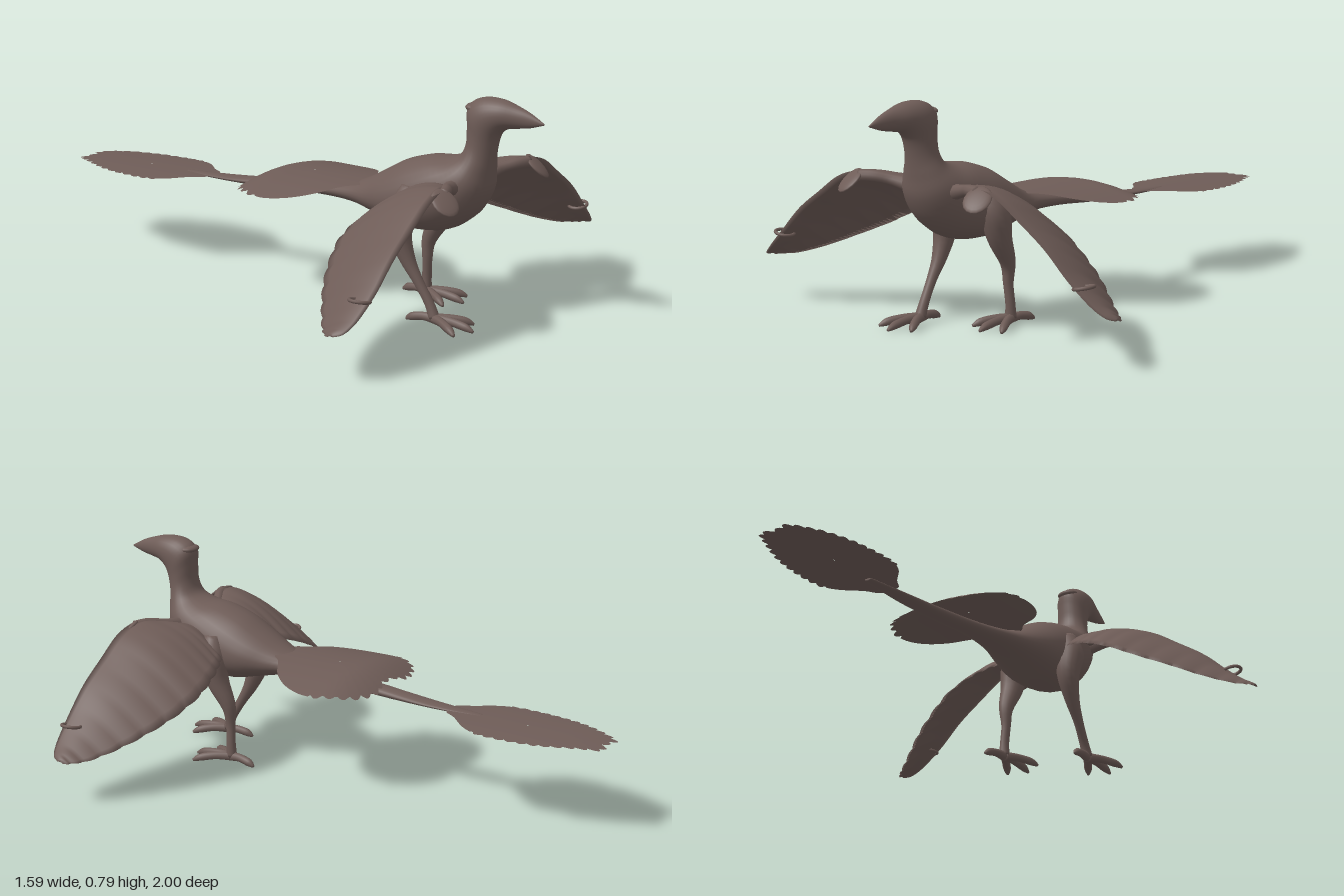
import * as THREE from 'three';

const plumage = new THREE.MeshStandardMaterial({ color: 0x6e5c57, side: THREE.DoubleSide });
plumage.name = 'brown plumage';

// Skin a list of equal-length closed rings of Vector3; ends are closed to their centroids if capped.
function loft(name, rings, { cap = true, flip = false } = {}) {
  const centroid = r => r.reduce((s, p) => s.add(p), new THREE.Vector3()).divideScalar(r.length);
  const all = cap ? [rings[0].map(() => centroid(rings[0])), ...rings, rings[0].map(() => centroid(rings.at(-1)))] : rings;
  const n = rings[0].length, index = [];
  for (let i = 0; i < all.length - 1; i++) {
    for (let j = 0; j < n; j++) {
      const a = i * n + j, b = i * n + (j + 1) % n, c = a + n, d = b + n;
      index.push(...(flip ? [a, c, b, b, c, d] : [a, b, c, b, d, c]));
    }
  }
  const g = new THREE.BufferGeometry().setFromPoints(all.flat());
  g.setIndex(index);
  g.computeVertexNormals();
  const mesh = new THREE.Mesh(g, plumage);
  mesh.name = name;
  return mesh;
}

// Smoothly resample a table of numeric rows
function resample(rows, count) {
  return Array.from({ length: count + 1 }, (_, k) => {
    const t = k / count * (rows.length - 1), i = Math.min(Math.floor(t), rows.length - 2), f = t - i;
    const at = q => rows[Math.max(0, Math.min(rows.length - 1, q))];
    return rows[0].map((_, c) => {
      const [p0, p1, p2, p3] = [at(i - 1)[c], at(i)[c], at(i + 1)[c], at(i + 2)[c]];
      const m1 = (p2 - p0) / 2, m2 = (p3 - p1) / 2, f2 = f * f, f3 = f2 * f;
      return (2 * f3 - 3 * f2 + 1) * p1 + (f3 - 2 * f2 + f) * m1 + (3 * f2 - 2 * f3) * p2 + (f3 - f2) * m2;
    });
  });
}

// Tapered limb through rows of [x, y, z, radius]
function limb(name, rows, sides = 10) {
  const s = resample(rows, (rows.length - 1) * 4);
  const curve = new THREE.CatmullRomCurve3(s.map(r => new THREE.Vector3(r[0], r[1], r[2])));
  const { normals, binormals } = curve.computeFrenetFrames(s.length - 1);
  return loft(name, s.map((r, i) => Array.from({ length: sides }, (_, j) => {
    const a = j / sides * Math.PI * 2;
    return new THREE.Vector3(r[0], r[1], r[2])
      .addScaledVector(normals[i], Math.cos(a) * r[3]).addScaledVector(binormals[i], Math.sin(a) * r[3]);
  })));
}

// Head, neck, body and tail stem: dorsal z, y; ventral z, y; half width
const bodyRows = [
  [1.0, .73, 1.0, .724, .003], [.95, .757, .95, .708, .016], [.9, .775, .905, .70, .03],
  [.84, .79, .865, .692, .048], [.77, .788, .84, .672, .058], [.72, .758, .828, .645, .06],
  [.718, .70, .82, .61, .058], [.718, .64, .815, .575, .062], [.70, .593, .81, .53, .08],
  [.65, .572, .8, .46, .108], [.57, .563, .75, .38, .128], [.48, .535, .65, .315, .138],
  [.4, .49, .52, .30, .13], [.32, .445, .4, .325, .1], [.25, .42, .27, .35, .07],
  [.1, .395, .1, .35, .045], [-.1, .372, -.1, .335, .036], [-.3, .35, -.3, .33, .032],
  [-.5, .338, -.5, .328, .014],
];
function makeBody() {
  const rings = resample(bodyRows, 72).map(([dz, dy, vz, vy, w]) => Array.from({ length: 28 }, (_, j) => {
    const a = j / 28 * Math.PI * 2, t = (1 - Math.cos(a)) / 2;
    return new THREE.Vector3(w * Math.sin(a), dy + (vy - dy) * t, dz + (vz - dz) * t);
  }));
  return loft('headAndBody', rings);
}

// Tail vane: half outline [x, z] front to back, scalloped behind zScallop, raised by a height rule
function vane(name, half, zCentre, zScallop, scallops, depth, height) {
  const pts = [...[...half].reverse(), ...half.map(([x, z]) => [-x, z])];
  const curve = new THREE.CatmullRomCurve3(pts.map(([x, z]) => new THREE.Vector3(x, 0, z)), true);
  const edge = curve.getSpacedPoints(180).slice(0, 180).map((p, i) => {
    const k = p.z < zScallop ? 1 + depth * (Math.abs(Math.sin(scallops * Math.PI * i / 180)) - .5) : 1;
    return [p.x * k, (p.z - zCentre) * k];
  });
  const rings = [.01, .15, .3, .45, .6, .75, .9, 1].map(t => edge.map(([x, z]) =>
    new THREE.Vector3(x * t, height(x * t, zCentre + z * t), zCentre + z * t)));
  return loft(name, rings, { cap: false });
}

// Wing stations: x, leading z, y; trailing z, y; thickness
const wingRows = [
  [.09, .72, .48, .56, .43, .03], [.15, .735, .505, .50, .41, .034], [.2, .77, .518, .475, .395, .036],
  [.27, .79, .53, .455, .37, .034], [.36, .80, .505, .45, .33, .03], [.46, .80, .44, .48, .28, .026],
  [.56, .80, .37, .53, .235, .022], [.65, .797, .285, .59, .195, .02], [.73, .785, .215, .65, .168, .016],
  [.775, .765, .18, .69, .163, .012], [.793, .735, .168, .715, .163, .006],
];
function makeWing(side) {
  const chord = 12;
  const rings = resample(wingRows, 80).map(([x, lz, ly, tz, ty, th], i) => {
    const z0 = tz - .008 * Math.abs(Math.sin(i * Math.PI / 6));
    const surface = (u, s) => new THREE.Vector3(side * x,
      ty + (ly - ty) * u + th * (.9 * Math.sin(Math.PI * u) + s * .5 * Math.sqrt(u) * Math.sqrt(1 - u) * (.6 + u)),
      z0 + (lz - z0) * u);
    const ring = [];
    for (let k = 0; k <= chord; k++) ring.push(surface(k / chord, 1));
    for (let k = chord - 1; k > 0; k--) ring.push(surface(k / chord, -1));
    return ring;
  });
  const wing = new THREE.Group();
  wing.name = side > 0 ? 'leftWing' : 'rightWing';
  wing.add(loft('wingFeathers', rings, { flip: side < 0 }));
  // Shoulder bone along the leading edge
  wing.add(limb('wingArm', [[side * .08, .485, .71, .03], [side * .16, .503, .735, .02],
    [side * .22, .515, .77, .02], [side * .27, .515, .79, .02]]));
  // Small flap hanging off the leading edge
  const flap = new THREE.Mesh(new THREE.SphereGeometry(1, 16, 10), plumage);
  flap.name = 'wingFlap';
  flap.scale.set(.048, .012, .055);
  flap.position.set(side * .29, .498, .812);
  flap.rotation.set(.75, side * .15, side * -.25);
  wing.add(flap);
  // Curled claw loop near the tip
  const claw = new THREE.Mesh(new THREE.TorusGeometry(.033, .006, 8, 24), plumage);
  claw.name = 'wingClaw';
  claw.rotation.set(-Math.PI / 2, side * -.55, 0, 'ZXY');
  claw.rotation.z = side * -.35;
  claw.position.set(side * .685, .262, .757);
  wing.add(claw);
  return wing;
}

// Leg with thigh, shank and four toes; ankle at (x, z)
function makeLeg(name, side, x, z, kneeZ) {
  const leg = new THREE.Group();
  leg.name = name;
  leg.add(limb('thighAndShank', [[side * .105, .47, .56, .035], [side * .125, .4, .55, .052],
    [side * .127, .31, .53, .042], [side * .123, .22, kneeZ, .027], [side * .12, .15, kneeZ * .6 + z * .4, .018],
    [x, .08, kneeZ * .2 + z * .8, .017], [x, .03, z, .02]], 14));
  const toes = [[.0, .155], [side * .072, .125], [side * -.07, .115], [side * .012, -.105]];
  toes.forEach(([dx, dz], i) => leg.add(limb(i < 3 ? 'frontToe' : 'backToe', [
    [x, .028, z, .018], [x + dx * .4, .03, z + dz * .4, .015],
    [x + dx * .8, .022, z + dz * .8, .014], [x + dx, .011, z + dz, .005]], 8)));
  return leg;
}

export function createModel() {
  const bird = new THREE.Group();
  bird.name = 'bird';
  bird.add(makeBody());

  // Small crest at the back of the head
  const crest = new THREE.Mesh(new THREE.SphereGeometry(1, 14, 10), plumage);
  crest.name = 'crest';
  crest.scale.set(.042, .014, .03);
  crest.position.set(0, .752, .738);
  bird.add(crest);

  // Broad fan at the tail root and long vane at the tail tip
  bird.add(vane('tailFan',
    [[.06, .32], [.1, .28], [.19, .22], [.25, .14], [.275, .04], [.25, -.04], [.2, -.1], [.1, -.135], [.03, -.12]],
    .08, .03, 34, .07, (x, z) => .43 - .6 * x * x - (z < 0 ? 2.5 * z * z : 0)));
  bird.add(vane('tailVane',
    [[.035, -.38], [.07, -.43], [.13, -.5], [.155, -.56], [.155, -.7], [.138, -.8], [.1, -.9], [.05, -.985], [.012, -.975]],
    -.68, -.54, 36, .07, (x, z) => .338 - .3 * x * x + (z + .4) * .016 - (z < -.85 ? (z + .85) ** 2 * .4 : 0)));

  for (const side of [1, -1]) bird.add(makeWing(side));
  bird.add(makeLeg('leftLeg', 1, .125, .475, .485));
  bird.add(makeLeg('rightLeg', -1, -.115, .665, .56));
  return bird;
}
